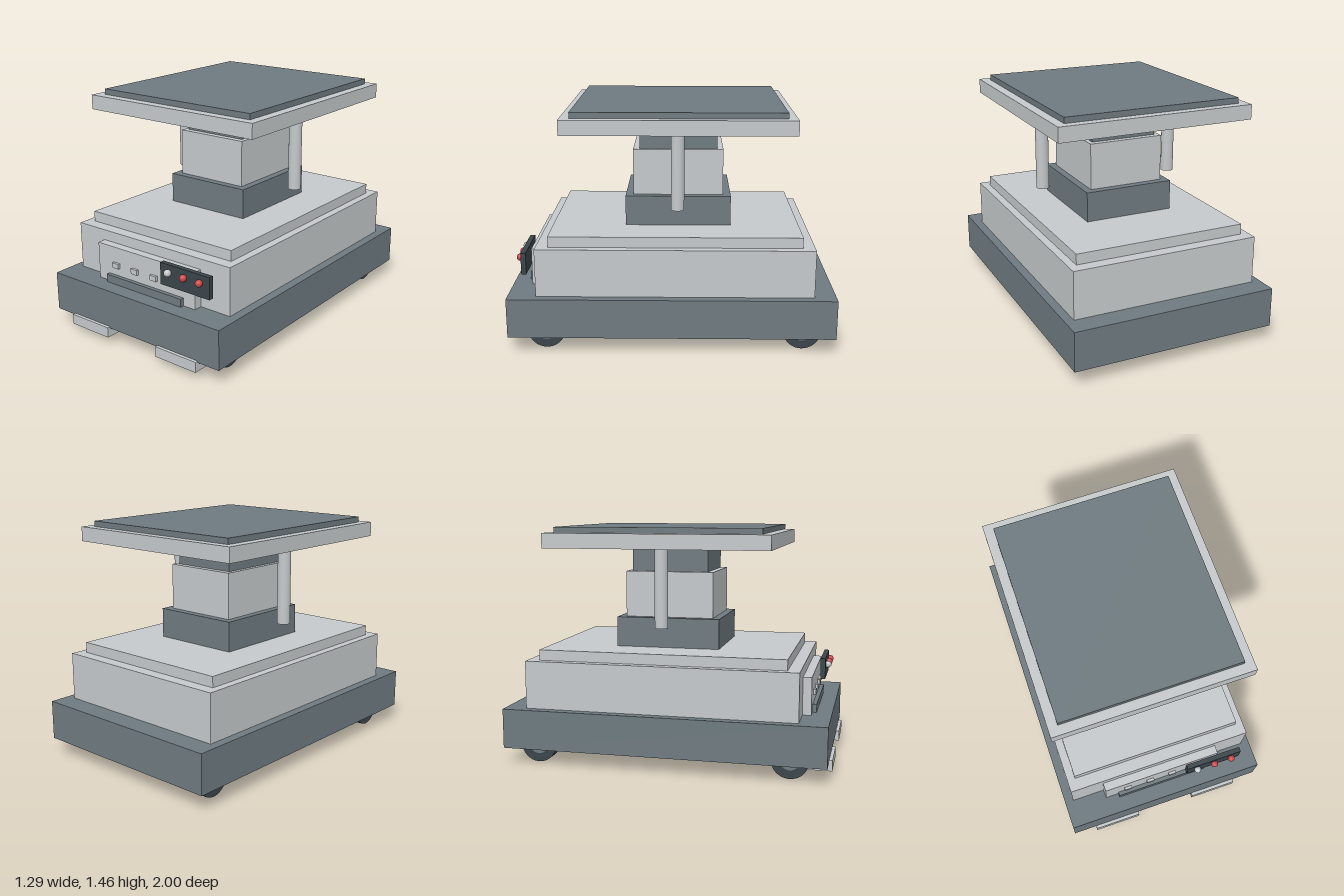
import * as THREE from 'three';

const mat = (name, color) => {
  const m = new THREE.MeshStandardMaterial({ color });
  m.name = name;
  return m;
};

export function createModel() {
  const model = new THREE.Group();
  model.name = 'liftTable';
  const light = mat('lightGrey', 0xc5c9cb);
  const slate = mat('slateGrey', 0x6e7a80);
  const dark = mat('darkGrey', 0x3a454a);
  const red = mat('red', 0xc94848);

  const add = (name, geometry, material, x, y, z) => {
    const mesh = new THREE.Mesh(geometry, material);
    mesh.name = name;
    mesh.position.set(x, y, z);
    model.add(mesh);
    return mesh;
  };
  // Box given by its limits on each axis
  const box = (name, material, [x0, x1], [y0, y1], [z0, z1]) =>
    add(name, new THREE.BoxGeometry(x1 - x0, y1 - y0, z1 - z0), material,
      (x0 + x1) / 2, (y0 + y1) / 2, (z0 + z1) / 2);
  const both = (w) => [-w, w];

  // Chassis and housing
  box('base', slate, both(0.645), [0.1, 0.345], [-1, 0.98]);
  box('housing', light, both(0.59), [0.345, 0.64], [-0.867, 0.808]);
  box('housingCover', light, both(0.54), [0.64, 0.705], [-0.793, 0.733]);

  // Telescopic column
  box('lowerColumn', slate, both(0.283), [0.705, 0.89], [-0.37, 0.28]);
  box('middleColumn', light, both(0.237), [0.89, 1.175], [-0.322, 0.233]);
  box('upperColumn', slate, both(0.21), [1.175, 1.33], [-0.285, 0.195]);

  // Table top with its pad
  box('tableTop', light, both(0.61), [1.33, 1.42], [-0.733, 0.638]);
  box('pad', slate, both(0.552), [1.42, 1.455], [-0.678, 0.58]);

  // Front panel, buttons and rail
  box('frontPanel', light, both(0.38), [0.345, 0.575], [0.808, 0.861]);
  for (const x of [-0.23, -0.077, 0.073, 0.225])
    box('button', light, [x - 0.024, x + 0.024], [0.445, 0.477], [0.861, 0.877]);
  box('rail', slate, both(0.295), [0.345, 0.395], [0.861, 0.886]);

  // Control box with lamps
  box('controlBox', dark, [0.16, 0.52], [0.46, 0.595], [0.871, 0.902]);
  [[0.225, light], [0.34, red], [0.455, red]].forEach(([x, m]) =>
    add('lamp', new THREE.SphereGeometry(0.022, 20, 14), m, x, 0.548, 0.915));

  for (const side of [-1, 1]) {
    // Hanging guide rods and foot pedals
    add('guideRod', new THREE.CylinderGeometry(0.04, 0.04, 0.48, 24), light, side * 0.44, 1.09, -0.043);
    const pedal = box('pedal', light, [0.192, 0.494], [0.045, 0.11], [0.75, 1]);
    pedal.position.x *= side;

    // Wheels with hub and axle cap
    for (const z of [0.757, -0.805]) {
      const wheelPart = (name, material, r, width) => {
        const geo = new THREE.CylinderGeometry(r, r, width, 32).rotateZ(Math.PI / 2);
        add(name, geo, material, side * 0.513, 0.113, z);
      };
      wheelPart('wheel', dark, 0.113, 0.082);
      wheelPart('hub', slate, 0.06, 0.086);
      wheelPart('axleCap', light, 0.04, 0.09);
    }
  }
  return model;
}
